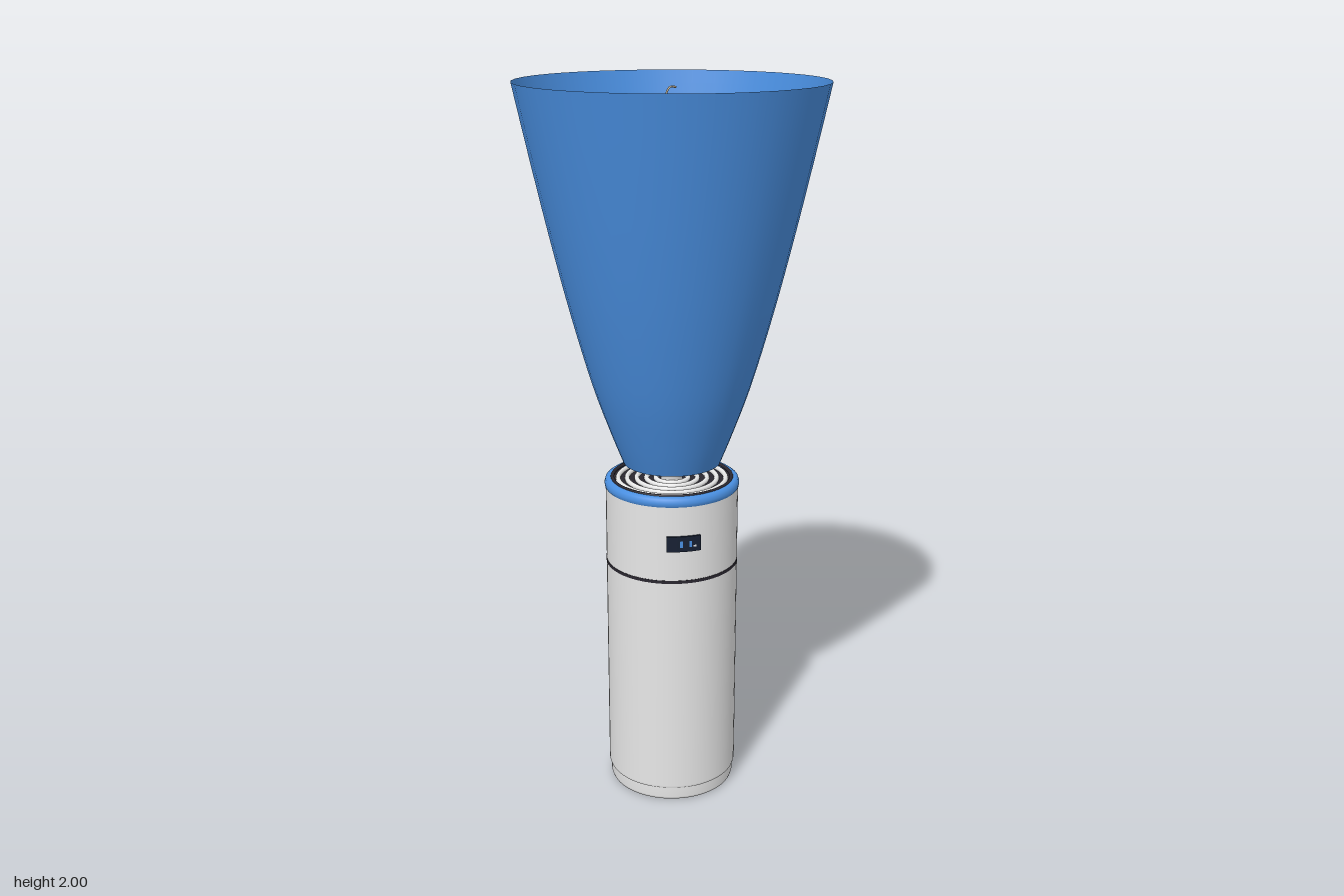
import * as THREE from 'three';

const mat = (name, color, side = THREE.FrontSide) => {
  const m = new THREE.MeshStandardMaterial({ color, side });
  m.name = name;
  return m;
};

export function createModel() {
  const root = new THREE.Group();
  root.name = 'airPurifier';
  const shell = mat('shellWhite', 0xe8e8e8);
  const dark = mat('darkPlastic', 0x2a2730);
  const blue = mat('ringBlue', 0x4a90e2);
  const flow = mat('airflowBlue', 0x4a90e2, THREE.DoubleSide);
  const screen = mat('screenNavy', 0x172033);
  const wisp = mat('wispBeige', 0xc9b99f);

  const add = (name, geo, material, y = 0, parent = root) => {
    const mesh = new THREE.Mesh(geo, material);
    mesh.name = name;
    mesh.position.y = y;
    parent.add(mesh);
    return mesh;
  };
  const V = pts => pts.map(([r, y]) => new THREE.Vector2(r, y));
  // Each profile piece is lathed separately so the edges between them stay sharp
  const turned = (name, pieces, material) => {
    const g = new THREE.Group();
    g.name = name;
    pieces.forEach((p, i) => add(name + (i + 1), new THREE.LatheGeometry(V(p), 64), material, 0, g));
    root.add(g);
  };
  const ring = (name, r, tube, y, material) =>
    add(name, new THREE.TorusGeometry(r, tube, 12, 64).rotateX(Math.PI / 2), material, y);

  // Base, main housing, seam and head
  turned('base', [
    [[0, 0], [0.172, 0]],
    [[0.172, 0], [0.177, 0.003], [0.179, 0.01], [0.179, 0.042]],
  ], shell);
  turned('housing', [
    [[0.177, 0.04], [0.183, 0.042]],
    [[0.183, 0.042], [0.185, 0.05], [0.185, 0.683]],
    [[0.185, 0.683], [0.175, 0.683]],
  ], shell);
  add('seam', new THREE.CylinderGeometry(0.186, 0.186, 0.009, 64), dark, 0.687);
  turned('head', [
    [[0.175, 0.691], [0.185, 0.691]],
    [[0.185, 0.691], [0.185, 0.905]],
  ], shell);

  // Blue rim around the outlet
  turned('rim', [
    [[0.183, 0.902], [0.187, 0.907], [0.188, 0.916], [0.185, 0.926], [0.178, 0.931], [0.168, 0.931]],
    [[0.168, 0.931], [0.168, 0.912]],
  ], blue);

  // Outlet grille
  add('outletDisc', new THREE.CylinderGeometry(0.17, 0.17, 0.012, 64), dark, 0.916);
  ring('outletEdge', 0.166, 0.005, 0.93, dark);
  [0.045, 0.071, 0.098, 0.125, 0.15].forEach((r, i) =>
    ring('grilleRing' + (i + 1), r, 0.007, 0.925, shell));

  // Centre knob
  turned('knob', [
    [[0.03, 0.92], [0.03, 0.935], [0.035, 0.941], [0.036, 0.95], [0.033, 0.96], [0.027, 0.964]],
    [[0.027, 0.964], [0, 0.964]],
  ], shell);

  // Display, bent around the head
  const display = new THREE.Group();
  display.name = 'display';
  root.add(display);
  const plate = (name, x, y, w, h, r, material) => {
    const a = w / r;
    add(name, new THREE.CylinderGeometry(r, r, h, 10, 1, true, x / r - a / 2, a), material, y, display);
  };
  const frame = new THREE.BoxGeometry(0.092, 0.044, 0.01, 10, 1, 1);
  const p = frame.attributes.position;
  for (let i = 0; i < p.count; i++) {
    const a = p.getX(i) / 0.185, r = 0.186 + p.getZ(i);
    p.setXYZ(i, r * Math.sin(a), p.getY(i), r * Math.cos(a));
  }
  frame.computeVertexNormals();
  add('displayFrame', frame, screen, 0.8, display);
  for (const x of [-0.008, 0.018]) plate('displayBar', x, 0.8, 0.008, 0.018, 0.192, blue);
  plate('displayMark', 0.03, 0.794, 0.008, 0.005, 0.192, shell);

  // Two nested airflow cones, open at both ends
  const cone = (name, pts) => {
    const curve = new THREE.SplineCurve(V(pts));
    add(name, new THREE.LatheGeometry(curve.getPoints(24), 40), flow);
  };
  cone('outerAirflow', [[0.135, 0.975], [0.168, 1.06], [0.217, 1.2], [0.273, 1.4], [0.322, 1.6], [0.367, 1.8], [0.41, 2]]);
  const inner = [[0.076, 0.985], [0.107, 1.08], [0.15, 1.25], [0.2, 1.47], [0.243, 1.67], [0.283, 1.87]];
  cone('innerAirflow', inner);

  // Height on the inner cone at a given radius
  const heightAt = r => {
    let i = 1;
    while (i < inner.length - 1 && inner[i][0] < r) i++;
    const [r0, y0] = inner[i - 1], [r1, y1] = inner[i];
    return y0 + (y1 - y0) * (r - r0) / (r1 - r0);
  };

  // Thin wisps drifting up the inside of the airflow, as (x, z) paths
  const wisps = [
    [[0.025, -0.285], [0.045, -0.293], [0.065, -0.303]],
    [[-0.118, -0.13], [-0.11, -0.145], [-0.065, -0.17], [-0.03, -0.22], [0.005, -0.263]],
    [[-0.05, -0.012], [-0.075, -0.03], [-0.1, -0.05], [-0.12, -0.085]],
    [[-0.272, -0.035], [-0.23, 0.01], [-0.205, 0.065], [-0.19, 0.1]],
    [[-0.01, 0.067], [-0.03, 0.072], [-0.09, 0.115], [-0.133, 0.125]],
    [[-0.018, 0.258], [0.015, 0.255], [0.045, 0.25]],
    [[0.11, 0.025], [0.1, 0.06], [0.115, 0.11], [0.12, 0.17]],
    [[0.09, -0.115], [0.115, -0.09], [0.15, -0.08], [0.19, -0.068]],
    [[0.279, 0.015], [0.28, 0.035], [0.275, 0.06]],
  ];
  wisps.forEach((w, i) => {
    const path = new THREE.CatmullRomCurve3(w.map(([x, z]) =>
      new THREE.Vector3(x, Math.min(heightAt(Math.hypot(x, z) + 0.006), 1.96), z)));
    add('wisp' + (i + 1), new THREE.TubeGeometry(path, 16, 0.0028, 6), wisp);
  });

  return root;
}
